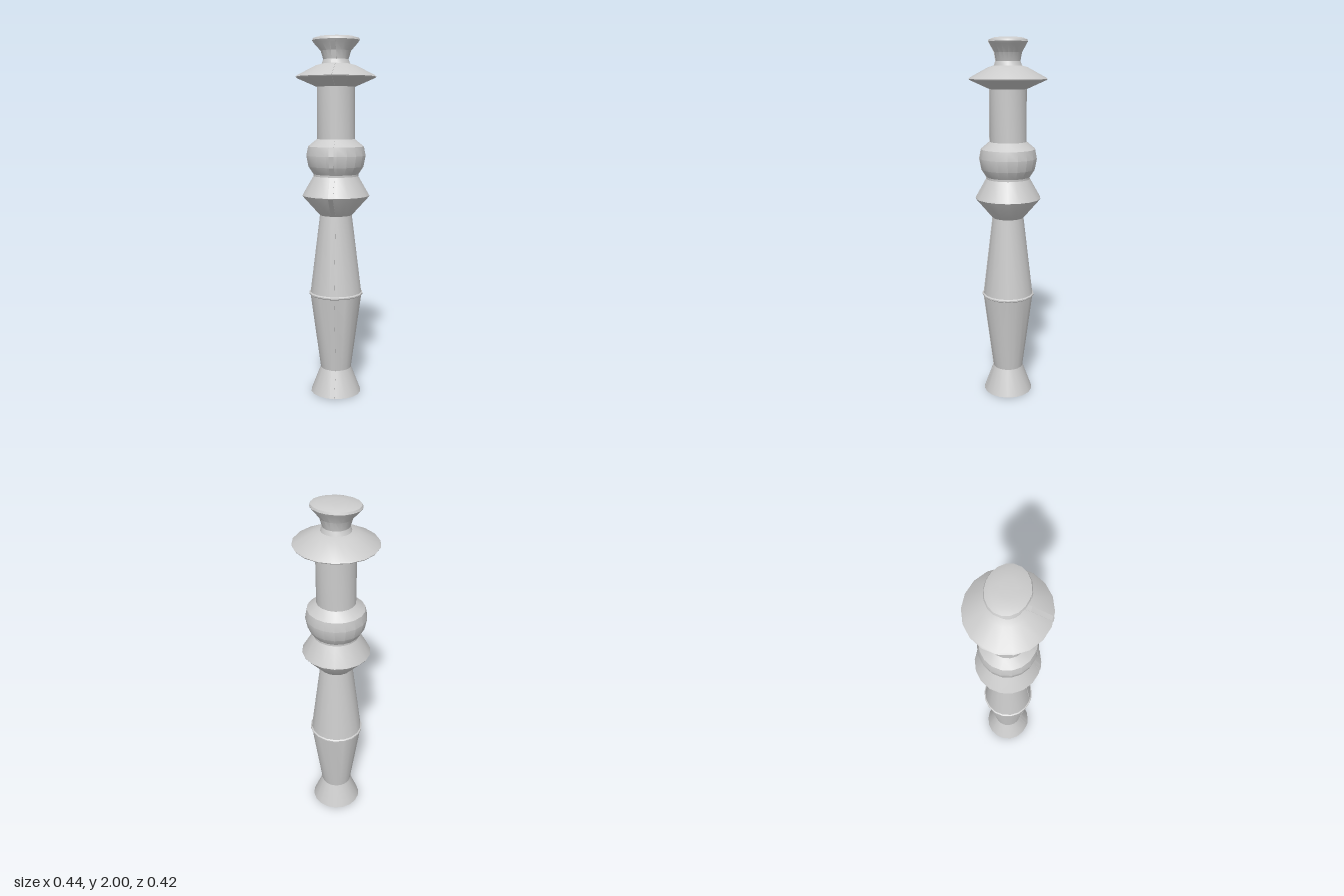
import * as THREE from 'three';
import { toCreasedNormals } from 'three/addons/utils/BufferGeometryUtils.js';

const SIDES = 18;
const HALF_STEP = Math.PI / SIDES;

// Half-width and height of the turned outline, bottom to top
const outline = [
  [0.143, 0], [0.14, 0.008], [0.087, 0.145],
  [0.145, 0.575], [0.152, 0.58], [0.152, 0.587], [0.145, 0.592],
  [0.09, 1.03],
  [0.184, 1.135], [0.187, 1.14], [0.182, 1.15],
  [0.125, 1.247], [0.125, 1.258],
  [0.153, 1.3], [0.165, 1.36], [0.155, 1.41], [0.105, 1.45],
  [0.105, 1.73],
  [0.217, 1.778], [0.22, 1.783], [0.213, 1.79],
  [0.11, 1.843], [0.078, 1.852], [0.069, 1.875], [0.083, 1.92],
  [0.122, 1.963], [0.13, 1.975], [0.125, 1.986],
];

// The section is slightly oval, more so at the head
const depthRatio = (y) => 0.96 - 0.15 * THREE.MathUtils.smoothstep(y, 1.88, 1.965);

function turnedBody(material) {
  const points = [[0, 0], ...outline, [0.095, 1.995], [0.05, 1.999], [0, 2]]
    .map(([r, y]) => new THREE.Vector2(r, y));
  const geometry = new THREE.LatheGeometry(points, SIDES, HALF_STEP);
  const pos = geometry.attributes.position;
  for (let i = 0; i < pos.count; i++) {
    pos.setZ(i, pos.getZ(i) * depthRatio(pos.getY(i)));
  }
  const mesh = new THREE.Mesh(toCreasedNormals(geometry, 0.45), material);
  mesh.name = 'turnedBody';
  return mesh;
}

// Thin raised strip that follows the outline up the front
function frontStrip(material) {
  const width = 0.026;
  const edge = (offset) => outline.map(([r, y]) =>
    new THREE.Vector2(r * Math.cos(HALF_STEP) * depthRatio(y) + offset, y));
  const shape = new THREE.Shape([...edge(-0.01), ...edge(0.003).reverse()]);
  const geometry = new THREE.ExtrudeGeometry(shape, { depth: width, bevelEnabled: false });
  geometry.rotateY(-Math.PI / 2).translate(width / 2, 0, 0);
  const mesh = new THREE.Mesh(geometry, material);
  mesh.name = 'frontStrip';
  return mesh;
}

export function createModel() {
  const group = new THREE.Group();
  group.name = 'turnedHandle';
  const material = new THREE.MeshStandardMaterial({ color: 0xcccccc });
  group.add(turnedBody(material), frontStrip(material));
  return group;
}
